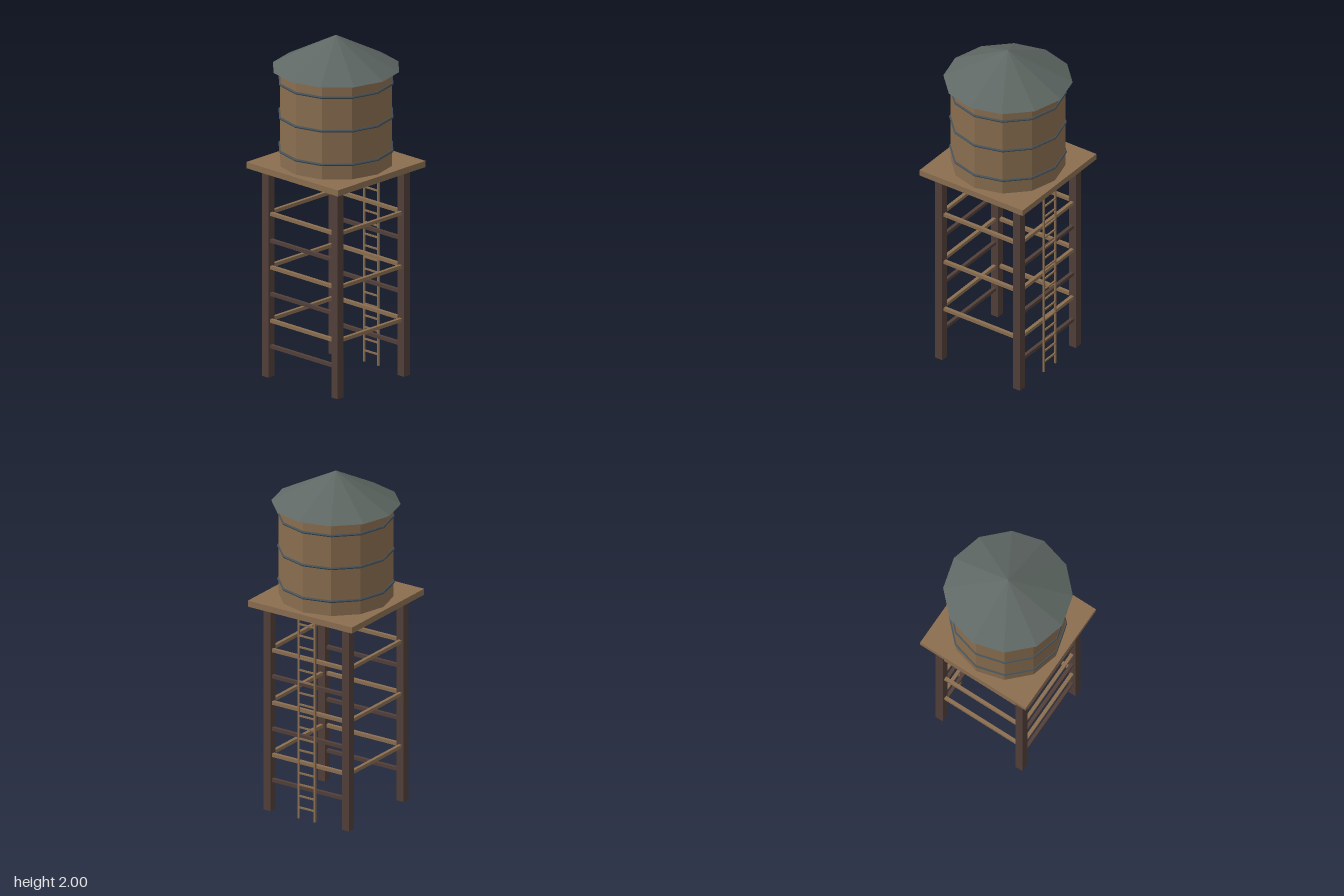
import * as THREE from 'three';

const material = (name, color) => {
  const m = new THREE.MeshStandardMaterial({ color, flatShading: true });
  m.name = name;
  return m;
};

export function createModel() {
  const wood = material('wood', 0x8a6e50);
  const darkWood = material('dark wood', 0x523f39);
  const roofMetal = material('roof metal', 0x5f6864);
  const hoopMetal = material('hoop metal', 0x47535a);

  const model = new THREE.Group();
  model.name = 'waterTower';

  const add = (name, geometry, mat, x, y, z, parent = model) => {
    const mesh = new THREE.Mesh(geometry, mat);
    mesh.name = name;
    mesh.position.set(x, y, z);
    parent.add(mesh);
    return mesh;
  };
  const box = (w, h, d) => new THREE.BoxGeometry(w, h, d);

  const legAt = 0.266, legSize = 0.048, deckBottom = 1.22;
  const span = 2 * legAt - legSize;

  // Four legs
  for (const x of [-legAt, legAt]) {
    for (const z of [-legAt, legAt]) {
      add('leg', box(legSize, deckBottom, legSize), darkWood, x, deckBottom / 2, z);
    }
  }

  // Rails on all four sides, darker rails between them on front and back
  for (const side of [-legAt, legAt]) {
    for (const y of [0.33, 0.643, 0.957]) {
      add('crossRail', box(span, 0.02, 0.02), wood, 0, y, side);
      add('sideRail', box(0.02, 0.02, span), wood, side, y, 0);
    }
    for (const y of [0.18, 0.487, 0.8]) {
      add('darkCrossRail', box(span, 0.02, 0.02), darkWood, 0, y, side);
    }
  }

  // Ladder up the back
  const ladder = new THREE.Group();
  ladder.name = 'ladder';
  ladder.position.z = -0.284;
  model.add(ladder);
  for (const x of [-0.055, 0.055]) {
    add('ladderRail', box(0.011, deckBottom, 0.011), wood, x, deckBottom / 2, 0, ladder);
  }
  for (let i = 0; i < 17; i++) {
    add('rung', box(0.1, 0.009, 0.009), wood, 0, 0.065 + i * 0.0686, 0, ladder);
  }

  // Deck, tank and roof
  add('deck', box(0.704, 0.036, 0.704), wood, 0, 1.238, 0);
  add('tank', new THREE.CylinderGeometry(0.32, 0.32, 0.56, 12), wood, 0, 1.535, 0);
  add('roof', new THREE.ConeGeometry(0.361, 0.19, 12), roofMetal, 0, 1.905, 0);

  // Hoops around the tank
  const hoop = new THREE.TorusGeometry(0.321, 0.008, 6, 12).rotateX(Math.PI / 2);
  for (const y of [1.343, 1.54, 1.737]) add('hoop', hoop, hoopMetal, 0, y, 0);

  return model;
}
